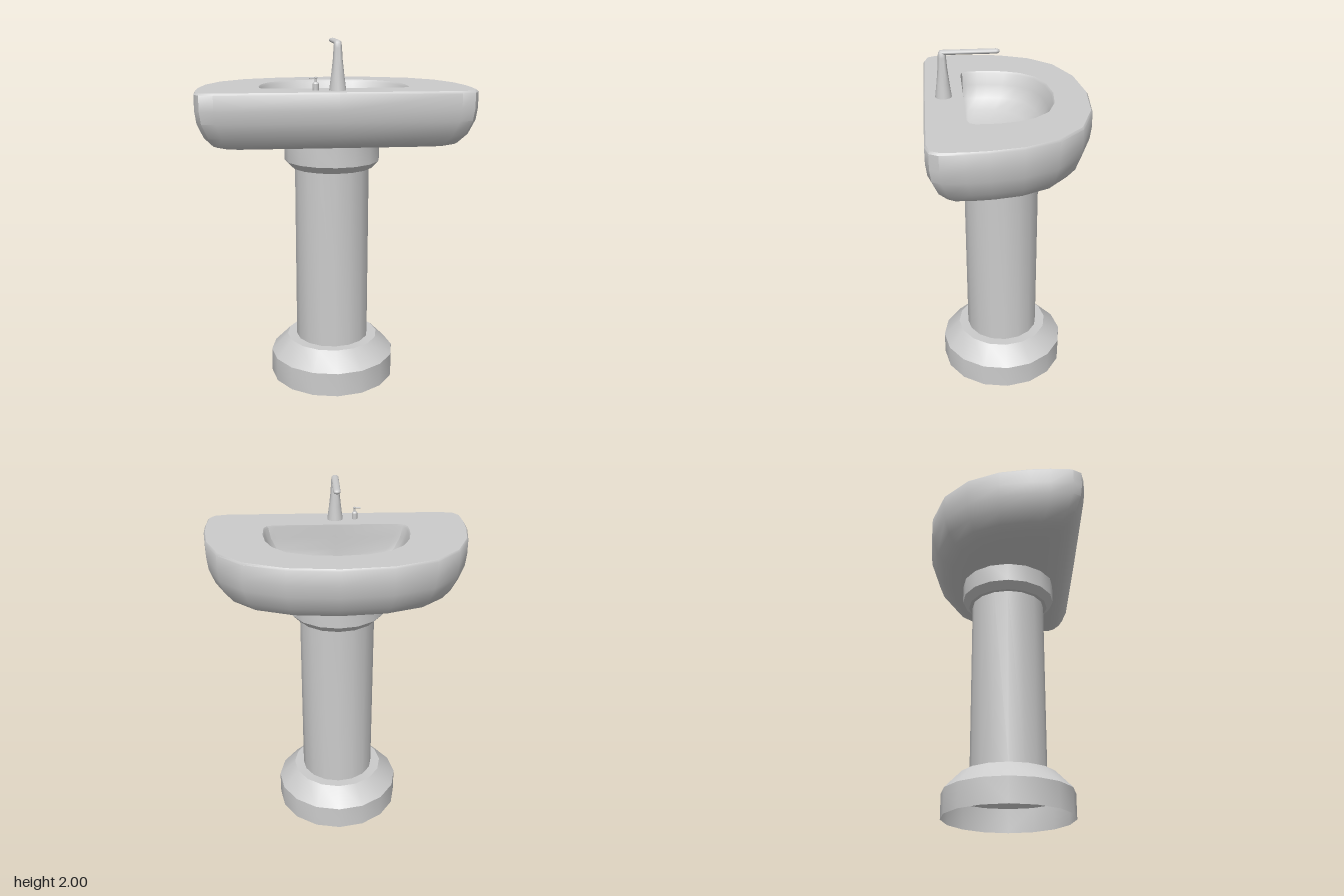
import * as THREE from 'three';
import { toCreasedNormals } from 'three/addons/utils/BufferGeometryUtils.js';

const material = new THREE.MeshStandardMaterial({ color: 0xcccccc, side: THREE.DoubleSide });
const TOP = 1.744;

function addMesh(parent, name, geometry, x = 0, y = 0, z = 0) {
  const mesh = new THREE.Mesh(geometry, material);
  mesh.name = name;
  mesh.position.set(x, y, z);
  parent.add(mesh);
  return mesh;
}

function lathe(profile, segments, crease = 0.5) {
  const points = profile.map(([r, y]) => new THREE.Vector2(r, y));
  return toCreasedNormals(new THREE.LatheGeometry(points, segments), crease);
}

// Close a half outline (x >= 0) into a full ring; the first and last points lie on x = 0.
function mirrorOutline(half) {
  return [...half, ...half.slice(1, -1).reverse().map(([x, z]) => [-x, z])];
}

// Skin consecutive rings of equal length; a ring shrunk to a point closes the surface.
function skin(rings) {
  const n = rings[0].length;
  const index = [];
  for (let j = 0; j < rings.length - 1; j++) {
    for (let i = 0; i < n; i++) {
      const a = j * n + i, b = j * n + (i + 1) % n;
      if (j > 0) index.push(a, a + n, b);
      if (j < rings.length - 2) index.push(b, a + n, b + n);
    }
  }
  // The closing fans use the remaining triangle of each quad
  const geometry = new THREE.BufferGeometry();
  geometry.setAttribute('position', new THREE.Float32BufferAttribute(rings.flat(2), 3));
  geometry.setIndex(index);
  return toCreasedNormals(geometry, 0.72);
}

function basinGeometry() {
  const outer = mirrorOutline([
    [0, -0.45], [0.276, -0.423], [0.5, -0.336], [0.638, -0.198], [0.714, -0.022], [0.741, 0.148],
    [0.746, 0.26], [0.741, 0.38], [0.714, 0.426], [0.64, 0.445], [0, 0.447],
  ]);
  const inner = mirrorOutline([
    [0, -0.26], [0.152, -0.244], [0.276, -0.196], [0.352, -0.116], [0.392, -0.024], [0.408, 0.07],
    [0.41, 0.13], [0.408, 0.19], [0.392, 0.22], [0.35, 0.232], [0, 0.232],
  ]);
  // Outside shell: [inset, height] from the underside up to the rim
  const shell = [[0.2, 1.427], [0.14, 1.432], [0.085, 1.452], [0.04, 1.505], [0.008, 1.585],
    [0, 1.65], [0, 1.733], [0.008, TOP]];
  // Bowl: [scale about the drain, height] from the rim down
  const bowl = [[1, TOP], [0.98, 1.733], [0.945, 1.67], [0.86, 1.6], [0.72, 1.545],
    [0.5, 1.507], [0.25, 1.49], [0, 1.486]];
  const drainZ = 0.21;
  return skin([
    outer.map(() => [0, 1.427, 0]),
    ...shell.map(([d, y]) => outer.map(([x, z]) => [x * (1 - d / 0.746), y, z * (1 - d / 0.45)])),
    ...bowl.map(([s, y]) => inner.map(([x, z]) => [x * s, y, drainZ + (z - drainZ) * s])),
  ]);
}

export function createModel() {
  const model = new THREE.Group();
  model.name = 'pedestalSink';

  // Hollow pedestal: stepped foot, column and collar
  addMesh(model, 'pedestal', lathe([
    [0.368, 0], [0.368, 0.14], [0.27, 0.24], [0.214, 0.24],
    [0.214, 1.28], [0.235, 1.28], [0.273, 1.32], [0.273, 1.43],
  ], 16), 0, 0, 0.027);

  addMesh(model, 'basin', basinGeometry());

  // Tap: tapered body with a slightly flattened spout over the bowl
  const tap = new THREE.Group();
  tap.name = 'tap';
  tap.position.set(0, 0, 0.338);
  model.add(tap);
  addMesh(tap, 'tapBody', lathe([
    [0.045, TOP], [0.035, 1.82], [0.026, 1.9], [0.022, 1.96], [0.02, 1.985], [0.012, 1.997], [0, 2],
  ], 16, 0.8));
  const spout = addMesh(tap, 'spout', new THREE.CapsuleGeometry(0.02, 0.28, 6, 16), 0, 1.987, -0.145);
  spout.rotation.x = Math.PI / 2;
  spout.scale.z = 0.65;

  // Small control with a thin side lever
  const control = new THREE.Group();
  control.name = 'control';
  control.position.set(-0.114, TOP, 0.335);
  model.add(control);
  addMesh(control, 'controlBody', lathe([
    [0.016, 0], [0.016, 0.035], [0.012, 0.042], [0.006, 0.044], [0.006, 0.06],
    [0.009, 0.062], [0.009, 0.068], [0, 0.071],
  ], 12));
  const lever = addMesh(control, 'controlLever', new THREE.CylinderGeometry(0.004, 0.004, 0.036, 8), -0.016, 0.064, 0);
  lever.rotation.z = Math.PI / 2;

  return model;
}
